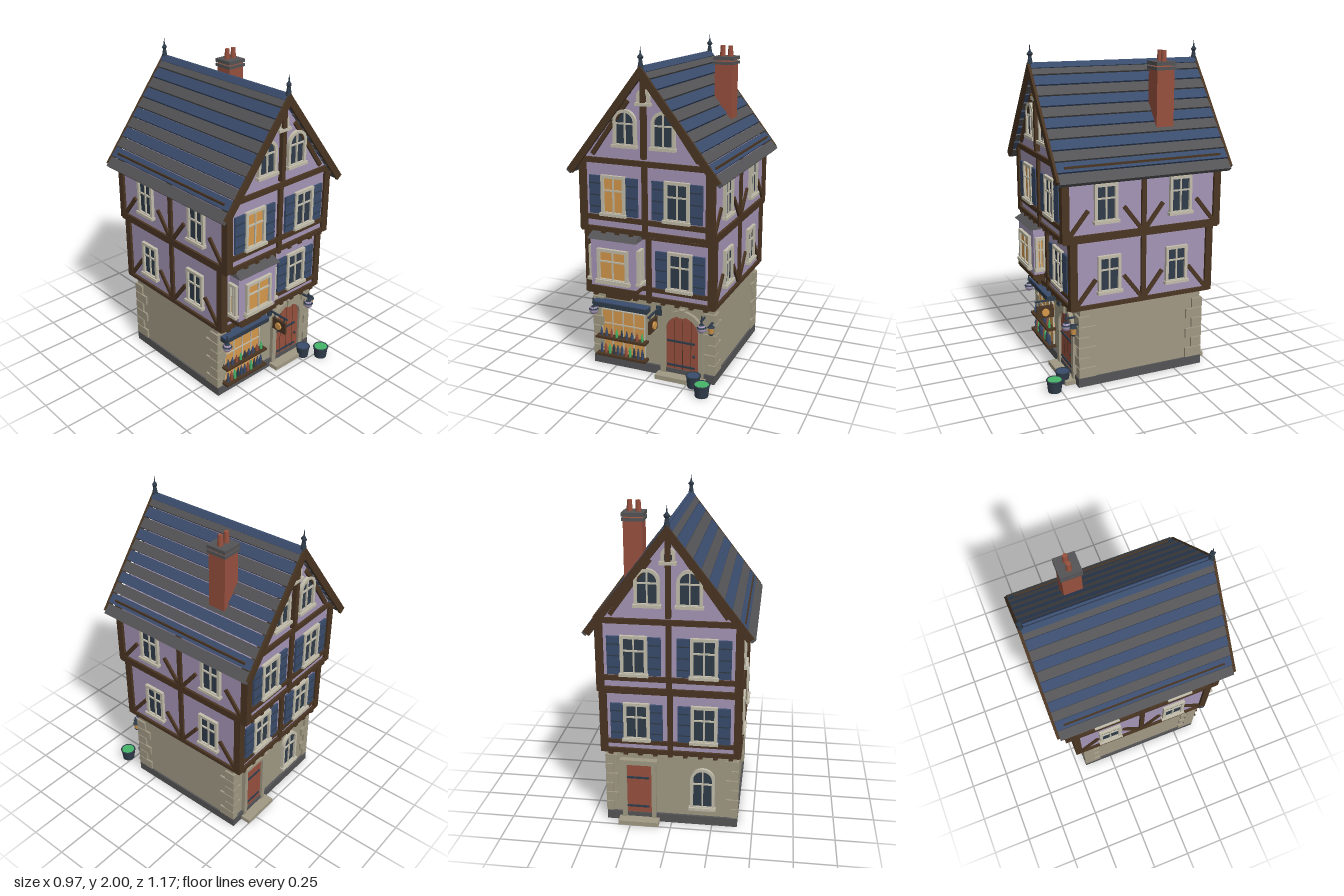
import * as THREE from 'three';

const mat = (name, color) => { const m = new THREE.MeshStandardMaterial({ color }); m.name = name; return m; };
const TIMBER = mat('dark timber', 0x4a3522), PLASTER = mat('lilac plaster', 0xa495b6), STONE = mat('stone', 0xa09883),
  CREAM = mat('pale stone trim', 0xc2bdab), SLATE = mat('grey slate', 0x545456), BLUE = mat('blue paint', 0x3a4c6c),
  BRICK = mat('red brick', 0x97503e), AMBER = mat('warm light', 0xd6994c), IRON = mat('iron and dark glass', 0x2f3c4a),
  GREEN = mat('green', 0x45b567);

function add(parent, name, geo, m, x = 0, y = 0, z = 0) {
  const mesh = new THREE.Mesh(geo, m);
  mesh.name = name;
  mesh.position.set(x, y, z);
  parent.add(mesh);
  return mesh;
}
const box = (p, name, m, x, y, z, w, h, d) => add(p, name, new THREE.BoxGeometry(w, h, d), m, x, y, z);
const cyl = (p, name, m, x, y, z, r1, r2, h, n = 12) => add(p, name, new THREE.CylinderGeometry(r1, r2, h, n), m, x, y, z);
const group = (p, name, x = 0, y = 0, z = 0, ry = 0) => {
  const g = new THREE.Group();
  g.name = name; g.position.set(x, y, z); g.rotation.y = ry;
  p.add(g);
  return g;
};
// straight bar between two points of the xy plane
function beam(p, name, m, x1, y1, x2, y2, w, z, d) {
  const b = box(p, name, m, (x1 + x2) / 2, (y1 + y2) / 2, z, Math.hypot(x2 - x1, y2 - y1), w, d);
  b.rotation.z = Math.atan2(y2 - y1, x2 - x1);
  return b;
}
const extrude = (shape, depth) => new THREE.ExtrudeGeometry(shape, { depth, bevelEnabled: false, curveSegments: 10 });
const polygon = pts => new THREE.Shape(pts.map(([x, y]) => new THREE.Vector2(x, y)));

// opening outline standing on y0: rectangular or round-headed
function opening(w, h, arched, y0 = 0) {
  const s = new THREE.Shape(), r = w / 2;
  s.moveTo(-r, y0); s.lineTo(r, y0);
  if (arched) { s.lineTo(r, y0 + h - r); s.absarc(0, y0 + h - r, r, 0, Math.PI, false); }
  else { s.lineTo(r, y0 + h); s.lineTo(-r, y0 + h); }
  s.closePath();
  return s;
}
function frame(p, name, m, w, h, t, arched, depth, bottom = t) {
  const s = opening(w, h, arched);
  s.holes.push(opening(w - 2 * t, h - t - bottom, arched, bottom));
  return add(p, name, extrude(s, depth), m);
}
function makeWindow(p, x, y, z, w, h, glass = IRON, arched = false) {
  const g = group(p, 'window', x, y, z);
  frame(g, 'windowFrame', CREAM, w, h, 0.018, arched, 0.02);
  add(g, 'windowGlass', extrude(opening(w - 0.02, h - 0.02, arched, 0.01), 0.006), glass);
  box(g, 'mullion', CREAM, 0, h / 2, 0.008, 0.009, h - 0.02, 0.014);
  box(g, 'transom', CREAM, 0, h * 0.62, 0.008, w - 0.02, 0.009, 0.014);
  box(g, 'windowSill', CREAM, 0, 0.005, 0.014, w + 0.015, 0.018, 0.034);
}
function shutteredWindow(p, x, y, z, glass) {
  makeWindow(p, x, y, z, 0.155, 0.24, glass);
  for (const s of [-1, 1]) {
    const g = group(p, 'shutter', x + s * 0.118, y + 0.118, z + 0.007);
    box(g, 'shutterPanel', BLUE, 0, 0, 0, 0.074, 0.23, 0.014);
    for (const dy of [-0.07, 0, 0.07]) box(g, 'shutterStrap', IRON, 0, dy, 0.007, 0.07, 0.007, 0.006);
  }
}
const Z1 = 0.45, Z2 = 0.495, XW = 0.405, RIDGE = 1.9, PITCH = 1.284;

// timbered gable end with two storeys, used front and back
function gableEnd(p, front) {
  for (const [y, h, z] of [[0.512, 0.028, Z1], [0.572, 0.026, Z1], [0.895, 0.022, Z1],
    [0.93, 0.028, Z2], [1.0, 0.03, Z2], [1.345, 0.032, Z2]])
    box(p, 'rail', TIMBER, 0, y, z, 0.82, h, 0.03);
  box(p, 'middlePost', TIMBER, 0, 0.71, Z1, 0.032, 0.4, 0.034);
  box(p, 'middlePost', TIMBER, 0, 1.13, Z2, 0.032, 0.4, 0.034);
  box(p, 'gablePost', TIMBER, 0, 1.61, Z2 + 0.008, 0.03, 0.47, 0.04);
  makeWindow(p, 0, 1.68, Z2, 0.08, 0.09, IRON, true);
  for (let i = 0; i < 9; i++) {
    box(p, 'joistEnd', TIMBER, -0.36 + i * 0.09, 0.497, 0.425, 0.026, 0.026, 0.08);
    box(p, 'joistEnd', TIMBER, -0.36 + i * 0.09, 0.918, 0.475, 0.026, 0.026, 0.075);
  }
  for (const s of [-1, 1]) {
    beam(p, 'gableBrace', TIMBER, s * 0.33, 1.38, s * 0.1, 1.7, 0.026, Z2, 0.03);
    makeWindow(p, s * 0.118, 1.435, Z2, 0.145, 0.215, IRON, true);
    shutteredWindow(p, s * 0.2, 1.02, Z2, front && s < 0 ? AMBER : IRON);
    shutteredWindow(p, s * 0.2, 0.585, Z1, IRON);
  }
}
// timbered long side
function longSide(p) {
  for (const [y0, y1, e, wz] of [[0.51, 0.585, 0.455, 0.22], [0.93, 1.015, 0.5, 0.24]]) {
    box(p, 'rail', TIMBER, 0, y0, XW, 2 * e, y0 > 0.6 ? 0.045 : 0.025, 0.03);
    box(p, 'middlePost', TIMBER, 0, y0 + 0.2, XW, 0.03, 0.42, 0.03);
    for (const s of [-1, 1]) {
      makeWindow(p, s * wz, y1, XW, 0.145, 0.23);
      beam(p, 'brace', TIMBER, s * (e - 0.03), y0 + 0.015, s * (e - 0.15), y0 + 0.165, 0.024, XW, 0.026);
      beam(p, 'brace', TIMBER, s * 0.01, y0 + 0.015, s * 0.125, y0 + 0.165, 0.024, XW, 0.026);
    }
  }
}
function roof(p) {
  const at = x => RIDGE - PITCH * x;
  for (const s of [-1, 1]) {
    for (let i = 0; i < 11; i++) {
      const a = i * 0.043, b = i === 10 ? 0.475 : a + 0.043;
      beam(p, 'slateRow', i === 10 || i % 2 === 0 ? SLATE : BLUE, s * a, at(a) - 0.03, s * b, at(b) - 0.022, 0.03, 0, 1.08);
    }
    beam(p, 'ridgeCap', BLUE, 0, RIDGE - 0.012, s * 0.022, at(0.022) - 0.012, 0.025, 0, 1.08);
    box(p, 'eavesStrip', TIMBER, s * 0.425, 1.355, 0, 0.008, 0.014, 0.99);
    const barge = polygon([[0, RIDGE], [-0.475, at(0.475)], [-0.44, at(0.44) - 0.07], [0, RIDGE - 0.07],
      [0.44, at(0.44) - 0.07], [0.475, at(0.475)]]);
    add(p, 'bargeBoard', extrude(barge, 0.016), TIMBER, 0, 0, s * 0.547 - 0.008);
    const f = group(p, 'finial', 0, 0, s * 0.537);
    cyl(f, 'finialStem', IRON, 0, 1.91, 0, 0.009, 0.018, 0.05, 8);
    add(f, 'finialDiamond', new THREE.OctahedronGeometry(0.02), IRON, 0, 1.945, 0).scale.y = 1.3;
    cyl(f, 'finialSpike', IRON, 0, 1.975, 0, 0.001, 0.006, 0.05, 8);
  }
  const c = group(p, 'chimney', 0.24, 0, -0.19);
  box(c, 'chimneyStack', BRICK, 0, 1.69, 0, 0.112, 0.36, 0.112);
  box(c, 'chimneyCap', SLATE, 0, 1.86, 0, 0.128, 0.018, 0.128);
  box(c, 'chimneyCap', SLATE, 0, 1.888, 0, 0.128, 0.022, 0.128);
  for (const s of [-1, 1]) cyl(c, 'chimneyPot', BRICK, s * 0.025, 1.93, 0, 0.014, 0.018, 0.065);
}
function bayWindow(p) {
  const g = group(p, 'bayWindow', -0.197, 0, 0);
  box(g, 'bayBody', PLASTER, 0, 0.728, 0.48, 0.295, 0.305, 0.1);
  makeWindow(g, 0, 0.615, 0.53, 0.2, 0.205, AMBER);
  box(g, 'baySill', CREAM, 0, 0.612, 0.542, 0.225, 0.02, 0.028);
  for (const s of [-1, 1]) makeWindow(group(g, 'baySide', s * 0.1475, 0, 0.49, s * Math.PI / 2), 0, 0.61, 0, 0.066, 0.215, AMBER);
  for (const [y, h, w, d] of [[0.568, 0.024, 0.31, 0.1], [0.54, 0.032, 0.23, 0.075], [0.505, 0.038, 0.16, 0.045]])
    box(g, 'bayCorbel', TIMBER, 0, y, 0.44 + d / 2, w, h, d);
  const lid = new THREE.BoxGeometry(0.32, 0.05, 0.11), v = lid.attributes.position;
  for (let i = 0; i < v.count; i++) if (v.getY(i) > 0) v.setXYZ(i, v.getX(i) * 0.93, v.getY(i), v.getZ(i) > 0 ? -0.03 : v.getZ(i));
  lid.computeVertexNormals();
  add(g, 'bayRoof', lid, SLATE, 0, 0.902, 0.5);
}
function shopFront(p) {
  const g = group(p, 'shopFront', -0.2, 0, 0.4);
  box(g, 'shopGlass', AMBER, 0, 0.225, 0.003, 0.29, 0.29, 0.008);
  for (const x of [-0.146, -0.073, 0, 0.073, 0.146]) box(g, 'shopMullion', CREAM, x, 0.225, 0.008, 0.006, 0.295, 0.01);
  for (const y of [0.28, 0.372]) box(g, 'shopTransom', CREAM, 0, y, 0.008, 0.295, 0.006, 0.01);
  box(g, 'awningFront', IRON, 0, 0.418, 0.03, 0.365, 0.03, 0.06);
  box(g, 'awningTop', BLUE, 0, 0.436, 0.03, 0.365, 0.006, 0.064);
  for (const [y, n, h] of [[0.087, 11, 0.045], [0.205, 9, 0.03]]) {
    box(g, 'shelf', TIMBER, 0, y - 0.007, 0.03, 0.34, 0.014, 0.06);
    for (let i = 0; i < n; i++) {
      const m = [GREEN, BLUE, IRON, BRICK, BLUE][(i * 2 + n) % 5], x = -0.14 + 0.28 * i / (n - 1);
      cyl(g, 'bottle', m, x, y + h / 2, 0.035, 0.009, 0.009, h, 8);
      cyl(g, 'bottleNeck', m, x, y + h + 0.011, 0.035, 0.003, 0.007, 0.022, 8);
    }
  }
}
function frontDoor(p) {
  const g = group(p, 'frontDoor', 0.197, 0, 0.4);
  frame(g, 'doorSurround', STONE, 0.28, 0.445, 0.033, true, 0.025, 0.02);
  add(g, 'doorLeaf', extrude(opening(0.22, 0.415, true, 0.01), 0.008), BRICK);
  box(g, 'keystone', STONE, 0, 0.432, 0.015, 0.035, 0.05, 0.04);
  for (const x of [-0.055, 0, 0.055]) box(g, 'plankGap', TIMBER, x, 0.2, 0.008, 0.003, 0.36, 0.003);
  for (const y of [0.08, 0.24]) box(g, 'doorStrap', IRON, -0.01, y, 0.011, 0.18, 0.012, 0.008);
  add(g, 'doorHandle', new THREE.SphereGeometry(0.009, 8, 6), IRON, 0.075, 0.16, 0.014);
  box(g, 'doorStep', STONE, 0, 0.014, 0.035, 0.31, 0.028, 0.09);
}
function backDoor(p) {
  const g = group(p, 'backDoor', -0.2, 0, 0.4);
  frame(g, 'doorSurround', STONE, 0.21, 0.42, 0.028, false, 0.025);
  box(g, 'doorLeaf', BRICK, 0, 0.21, 0.004, 0.16, 0.38, 0.008);
  for (const y of [0.1, 0.3]) box(g, 'doorStrap', IRON, -0.01, y, 0.011, 0.14, 0.012, 0.008);
  box(g, 'doorHead', STONE, 0, 0.42, 0.018, 0.23, 0.02, 0.04);
  box(g, 'doorStep', STONE, 0, 0.014, 0.035, 0.25, 0.028, 0.09);
}
function streetFittings(p) {
  for (const x of [-0.375, 0.34]) {
    const g = group(p, 'globeLamp', x, 0, 0.4);
    box(g, 'lampArm', IRON, 0, 0.43, 0.035, 0.01, 0.01, 0.08);
    cyl(g, 'lampStem', IRON, 0, 0.425, 0.065, 0.005, 0.005, 0.07, 6);
    add(g, 'lampGlobe', new THREE.SphereGeometry(0.028, 14, 10), PLASTER, 0, 0.38, 0.065);
    cyl(g, 'lampCap', IRON, 0, 0.397, 0.065, 0.012, 0.031, 0.022);
  }
  const l = group(p, 'wallLantern', 0.39, 0, 0.44);
  box(l, 'lanternArm', IRON, 0, 0.405, -0.01, 0.01, 0.01, 0.06);
  cyl(l, 'lanternLight', AMBER, 0, 0.367, 0, 0.02, 0.014, 0.045, 6);
  cyl(l, 'lanternCap', IRON, 0, 0.396, 0, 0.004, 0.025, 0.018, 6);
  cyl(l, 'lanternBase', IRON, 0, 0.342, 0, 0.016, 0.012, 0.01, 6);
  const s = group(p, 'hangingSign', 0.04, 0, 0.4);
  box(s, 'signPlate', IRON, 0, 0.42, 0.006, 0.034, 0.06, 0.012);
  box(s, 'signArm', IRON, 0, 0.435, 0.08, 0.01, 0.01, 0.16);
  box(s, 'signBoard', TIMBER, 0, 0.362, 0.095, 0.014, 0.08, 0.11);
  for (const dz of [0.055, 0.135]) box(s, 'signHanger', IRON, 0, 0.415, dz, 0.005, 0.04, 0.005);
  cyl(s, 'signDisc', AMBER, 0, 0.362, 0.095, 0.024, 0.024, 0.034).rotation.z = Math.PI / 2;
  for (const [x, z, r, fill] of [[0.38, 0.56, 0.05, GREEN], [0.295, 0.478, 0.046, BLUE]]) {
    const t = group(p, 'tub', x, 0, z);
    cyl(t, 'tubBody', IRON, 0, 0.035, 0, r - 0.003, r - 0.01, 0.07, 16);
    add(t, 'tubRim', new THREE.TorusGeometry(r - 0.004, 0.005, 6, 18), IRON, 0, 0.072, 0).rotation.x = Math.PI / 2;
    cyl(t, 'tubFill', fill, 0, 0.07, 0, r - 0.008, r - 0.008, 0.008, 16);
  }
}

export function createModel() {
  const model = new THREE.Group();
  model.name = 'timberedShopHouse';
  const house = group(model, 'house', 0, 0, -0.025);

  // walls of the three storeys
  box(house, 'groundWalls', STONE, 0, 0.255, 0, 0.79, 0.49, 0.8);
  box(house, 'plinth', SLATE, 0, 0.028, 0, 0.81, 0.056, 0.83);
  box(house, 'middleWalls', PLASTER, 0, 0.71, 0, 2 * XW, 0.42, 2 * Z1);
  const profile = polygon([[-XW, 0.91], [XW, 0.91], [XW, 1.33], [0, 1.85], [-XW, 1.33]]);
  add(house, 'upperWalls', extrude(profile, 2 * Z2), PLASTER, 0, 0, -Z2);

  // corner posts and alternating quoins
  for (const sx of [-1, 1]) for (const sz of [-1, 1]) {
    box(house, 'cornerPost', TIMBER, sx * 0.398, 0.71, sz * 0.443, 0.045, 0.42, 0.045);
    box(house, 'cornerPost', TIMBER, sx * 0.398, 1.125, sz * 0.488, 0.045, 0.42, 0.045);
    for (let i = 0; i < 6; i++) {
      const w = i % 2 ? 0.075 : 0.045, d = i % 2 ? 0.07 : 0.11;
      box(house, 'quoin', STONE, sx * (0.408 - w / 2), 0.09 + i * 0.066, sz * (0.413 - d / 2), w, 0.06, d);
    }
  }

  const front = group(house, 'front');
  gableEnd(front, true);
  bayWindow(front);
  shopFront(front);
  frontDoor(front);
  streetFittings(front);

  const back = group(house, 'back', 0, 0, 0, Math.PI);
  gableEnd(back, false);
  backDoor(back);
  makeWindow(back, 0.19, 0.11, 0.4, 0.15, 0.28, IRON, true);

  for (const s of [-1, 1]) longSide(group(house, 'side', 0, 0, 0, s * Math.PI / 2));
  roof(group(house, 'roof'));
  return model;
}
